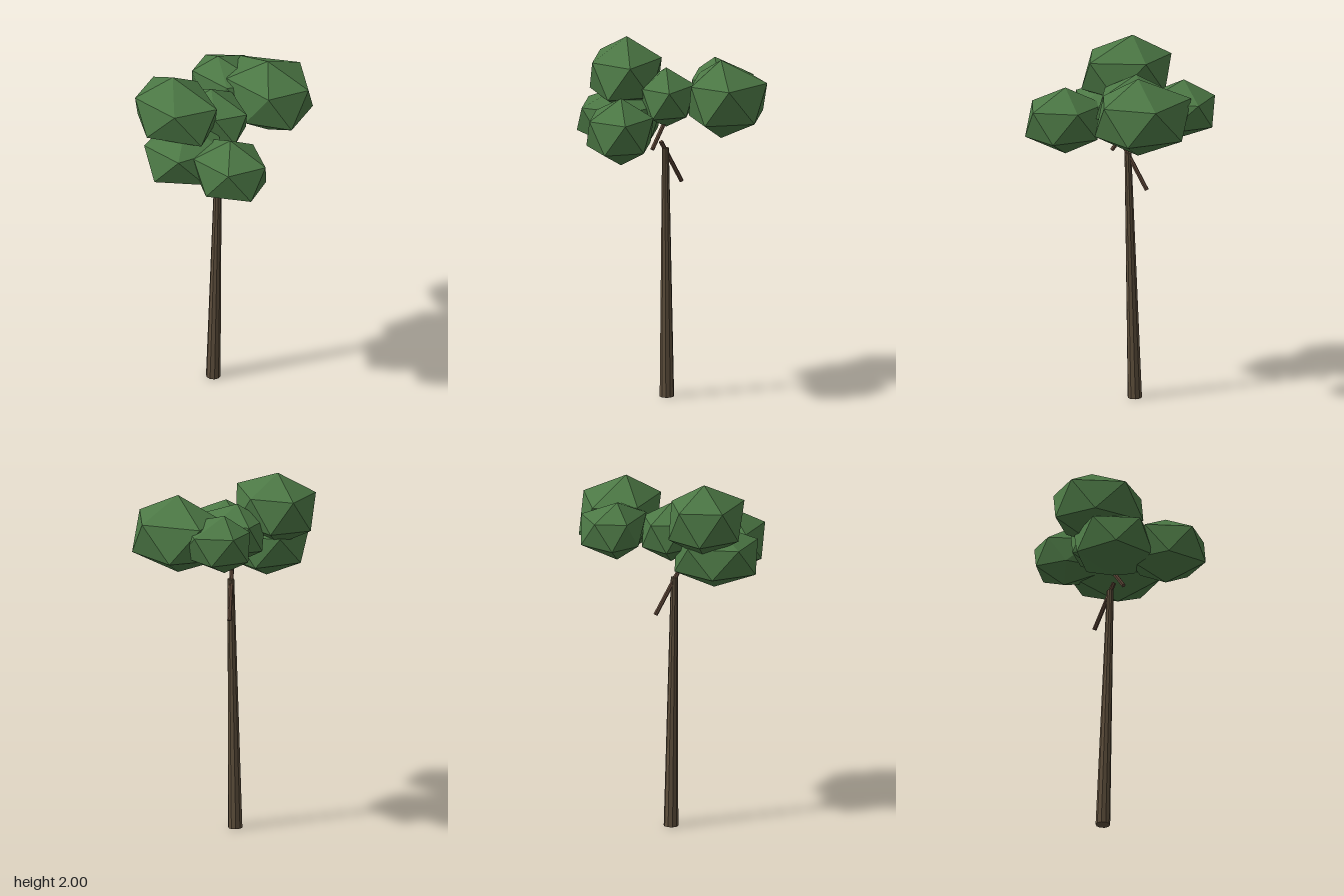
import * as THREE from 'three';
import { ConvexGeometry } from 'three/addons/geometries/ConvexGeometry.js';

const V = (a) => new THREE.Vector3(...a);

function material(name, color) {
  const m = new THREE.MeshStandardMaterial({ color, flatShading: true });
  m.name = name;
  return m;
}

// Lopsided twenty-sided clump: poles above and below the centre, two offset rings
// of five corners, each half of the plan scaled to reach its own x and z limit
function clumpGeometry([cx, cy, cz], height, [minX, maxX], [minZ, maxZ]) {
  const points = [V([0, height, 0]), V([0, -height, 0])];
  const ringRadius = 2 / Math.sqrt(5), ringHeight = height / Math.sqrt(5);
  const reachZ = Math.sin((Math.PI * 2) / 5);
  const place = (x, y, z) => points.push(V([
    x * (x > 0 ? maxX - cx : cx - minX),
    y,
    (z / reachZ) * (z > 0 ? maxZ - cz : cz - minZ),
  ]));
  for (let i = 0; i < 5; i++) {
    const a = (i * Math.PI * 2) / 5;
    place(Math.cos(a), ringHeight, Math.sin(a));
    place(-Math.cos(a), -ringHeight, -Math.sin(a));
  }
  return new ConvexGeometry(points);
}

// Tapered round limb between two points
function limb(name, from, to, r0, r1, sides, mat) {
  const a = V(from), b = V(to), dir = b.clone().sub(a);
  const mesh = new THREE.Mesh(new THREE.CylinderGeometry(r1, r0, dir.length(), sides), mat);
  mesh.position.copy(a).add(b).multiplyScalar(0.5);
  mesh.quaternion.setFromUnitVectors(V([0, 1, 0]), dir.normalize());
  mesh.name = name;
  return mesh;
}

export function createModel() {
  const tree = new THREE.Group();
  tree.name = 'tree';
  const bark = material('bark', 0x5f503d);
  const branchBark = material('branch bark', 0x5e4738);
  const leaves = material('leaves', 0x4c7845);

  // Trunk and the two thin branches
  tree.add(limb('trunk', [-0.04, 0, -0.098], [-0.042, 1.41, -0.058], 0.04, 0.019, 10, bark));
  tree.add(limb('lowerBranch', [0.035, 1.207, -0.138], [-0.064, 1.45, -0.039], 0.012, 0.012, 6, branchBark));
  tree.add(limb('upperBranch', [-0.105, 1.415, 0.01], [-0.02, 1.62, -0.105], 0.012, 0.012, 6, branchBark));

  // Foliage: centre, half height, x limits, z limits
  const clumps = [
    ['topClump', [-0.274, 1.795, -0.18], 0.205, [-0.478, -0.08], [-0.385, 0.097]],
    ['leftClump', [0.275, 1.716, 0.012], 0.22, [0.097, 0.53], [-0.27, 0.245]],
    ['middleClump', [-0.045, 1.684, -0.108], 0.167, [-0.185, 0.116], [-0.27, 0.114]],
    ['frontClump', [-0.245, 1.567, 0.228], 0.189, [-0.436, -0.066], [0.02, 0.442]],
    ['rightClump', [-0.285, 1.57, -0.07], 0.18, [-0.533, -0.06], [-0.27, 0.15]],
    ['backClump', [0.197, 1.71, -0.29], 0.163, [0.071, 0.41], [-0.447, -0.02]],
  ];
  for (const [name, centre, height, limitsX, limitsZ] of clumps) {
    const mesh = new THREE.Mesh(clumpGeometry(centre, height, limitsX, limitsZ), leaves);
    mesh.position.set(...centre);
    mesh.name = name;
    tree.add(mesh);
  }
  return tree;
}
